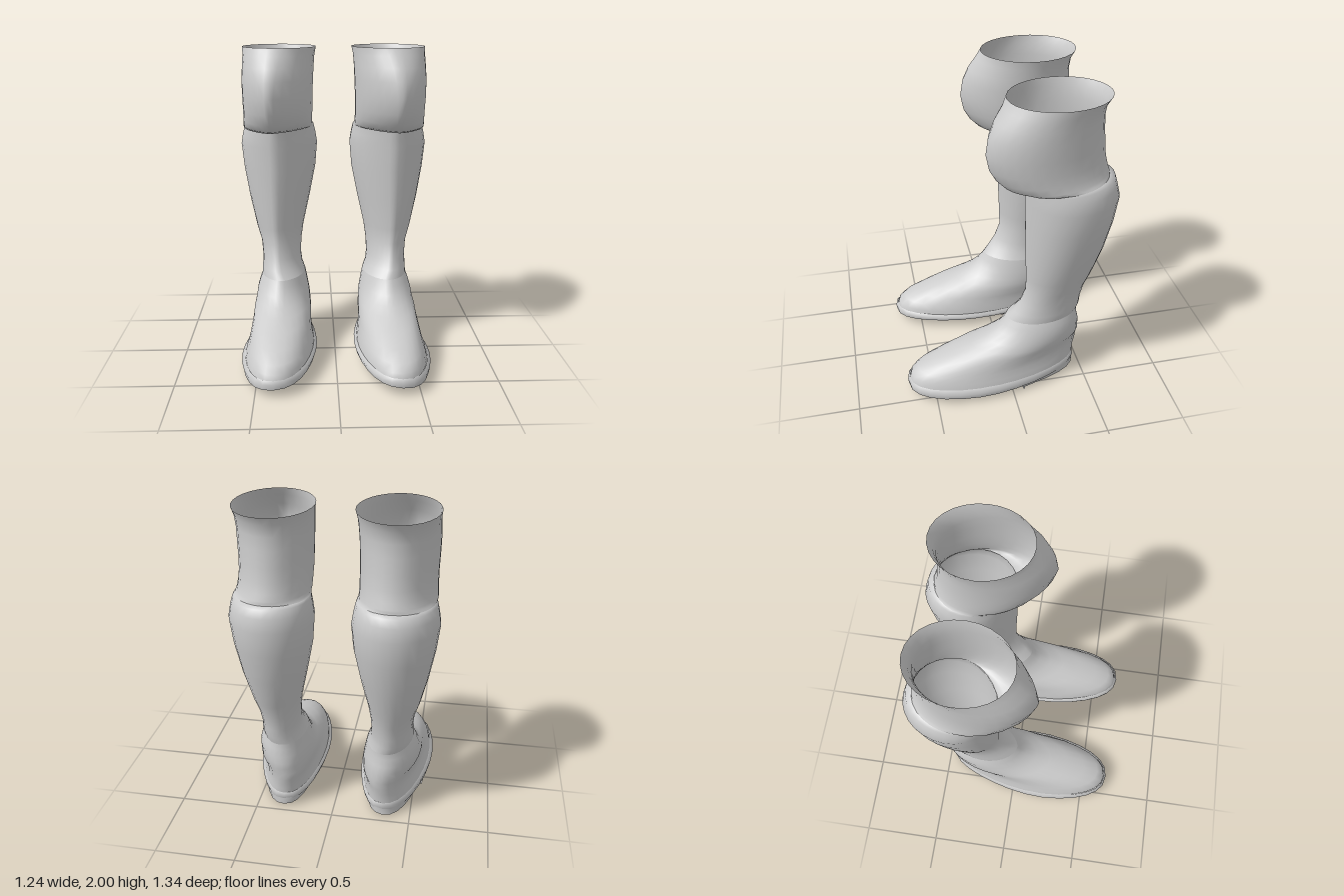
import * as THREE from 'three';

const SIDES = 28;
const leather = new THREE.MeshStandardMaterial({ color: 0xcccccc, side: THREE.DoubleSide });
leather.name = 'pale grey leather';

// One egg-shaped ring: y, back z, front z, inner x, outer x, extra options.
// front/back shift the ends sideways, pinch narrows the front,
// heel scales the back width, lift raises the back, tilt leans it outward
function ring([y, zb, zf, xi, xo, o = {}], side) {
  const { front = 0, back = 0, pinch = 0, heel = 1, lift = 0, tilt = 0, power = 1, clampZ = 9 } = o;
  const pts = [];
  for (let j = 0; j < SIDES; j++) {
    const a = (j / SIDES) * Math.PI * 2;
    const c = Math.cos(a), s = Math.sin(a), t = (c + 1) / 2;
    const z = Math.min((zb + zf) / 2 + ((zf - zb) / 2) * c, clampZ);
    const w = ((xo - xi) / 2) * THREE.MathUtils.lerp(heel, 1, THREE.MathUtils.smoothstep(t, 0, 0.65));
    const bend = Math.pow(Math.abs(s), power + pinch * t * t);
    const x = (xi + xo) / 2 + front * t * t + back * (1 - t) * (1 - t) + Math.sign(s) * bend * w;
    pts.push(x * side, y + lift * (1 - t) + tilt * (0.365 - x), z);
  }
  return pts;
}

// Skin a stack of rings, optionally closed at the bottom
function loft(name, rows, side, capped = false) {
  const pos = rows.flatMap((r) => ring(r, side));
  const idx = [];
  const tri = (a, b, c) => (side > 0 ? idx.push(a, b, c) : idx.push(a, c, b));
  for (let i = 0; i < rows.length - 1; i++) {
    for (let j = 0; j < SIDES; j++) {
      const k = (j + 1) % SIDES;
      const a = i * SIDES + j, b = i * SIDES + k;
      tri(a, b, b + SIDES);
      tri(a, b + SIDES, a + SIDES);
    }
  }
  if (capped) {
    // separate vertices keep the underside edge sharp
    const base = pos.length / 3;
    const bottom = pos.slice(0, SIDES * 3);
    const mid = [0, 0, 0];
    bottom.forEach((v, i) => { mid[i % 3] += v / SIDES; });
    pos.push(...bottom, ...mid);
    for (let j = 0; j < SIDES; j++) tri(base + SIDES, base + ((j + 1) % SIDES), base + j);
  }
  const g = new THREE.BufferGeometry();
  g.setAttribute('position', new THREE.Float32BufferAttribute(pos, 3));
  g.setIndex(idx);
  g.computeVertexNormals();
  const mesh = new THREE.Mesh(g, leather);
  mesh.name = name;
  return mesh;
}

function boot(side) {
  const g = new THREE.Group();
  g.name = side > 0 ? 'leftBoot' : 'rightBoot';

  // Sole and heel lean slightly to the outside
  const sole = { front: 0.015, back: -0.05, heel: 0.85, tilt: 0.07, power: 0.85 };
  g.add(loft('sole', [
    [0.052, -0.455, 0.665, 0.135, 0.605, sole],
    [0.085, -0.465, 0.67, 0.127, 0.614, { ...sole, tilt: 0.03 }],
    [0.105, -0.455, 0.655, 0.15, 0.59, { ...sole, tilt: 0.02 }],
  ], side, true));

  const heel = { ...sole, heel: 0.95, clampZ: -0.075 };
  g.add(loft('heel', [
    [0.013, -0.46, 0.64, 0.19, 0.56, heel],
    [0.06, -0.46, 0.64, 0.18, 0.57, { ...heel, clampZ: -0.055 }],
  ], side, true));

  // Foot with sloping instep
  const foot = { front: 0.015, back: -0.045, heel: 0.88, power: 0.9 };
  const instep = { front: 0.015, back: -0.03, pinch: 0.15 };
  const ankle = { front: 0.015, back: -0.015, pinch: 0.2 };
  g.add(loft('foot', [
    [0.095, -0.455, 0.655, 0.145, 0.59, foot],
    [0.135, -0.46, 0.645, 0.15, 0.58, foot],
    [0.175, -0.465, 0.6, 0.16, 0.565, foot],
    [0.22, -0.475, 0.5, 0.165, 0.555, foot],
    [0.27, -0.48, 0.37, 0.168, 0.545, { ...foot, heel: 0.95 }],
    [0.31, -0.485, 0.25, 0.17, 0.54, instep],
    [0.35, -0.485, 0.15, 0.175, 0.53, instep],
    [0.4, -0.48, 0.075, 0.18, 0.52, ankle],
    [0.45, -0.468, 0.035, 0.19, 0.505, ankle],
    [0.49, -0.466, 0.01, 0.2, 0.488, ankle],
  ], side));

  // Leg with calf swelling and a shin ridge towards the outside
  const shin = { front: 0.035, pinch: 0.4 };
  g.add(loft('legShaft', [
    [0.49, -0.466, 0.01, 0.2, 0.488, ankle],
    [0.54, -0.475, -0.03, 0.212, 0.48, { front: 0.03, pinch: 0.3 }],
    [0.6, -0.48, -0.07, 0.22, 0.475, shin],
    [0.7, -0.5, -0.108, 0.215, 0.485, shin],
    [0.8, -0.535, -0.108, 0.2, 0.515, shin],
    [1.0, -0.6, -0.1, 0.155, 0.56, shin],
    [1.2, -0.645, -0.095, 0.115, 0.595, shin],
    [1.36, -0.665, -0.09, 0.102, 0.612, shin],
    [1.42, -0.645, -0.088, 0.113, 0.6, { ...shin, lift: 0.02 }],
    [1.46, -0.63, -0.085, 0.123, 0.588, { ...shin, lift: 0.03 }],
    [1.47, -0.595, -0.085, 0.127, 0.58, { ...shin, lift: 0.03 }],
  ], side));

  // Bulging knee piece with a rounded lower lip, open at the top
  const knee = { front: 0.06, lift: 0.03, pinch: 0.45 };
  g.add(loft('kneeCuff', [
    [1.47, -0.595, -0.085, 0.127, 0.58, { ...shin, lift: 0.03 }],
    [1.468, -0.593, -0.02, 0.128, 0.578, { ...knee, lift: 0.045 }],
    [1.485, -0.593, 0.04, 0.128, 0.576, { ...knee, lift: 0.04 }],
    [1.53, -0.58, 0.085, 0.128, 0.572, knee],
    [1.6, -0.565, 0.125, 0.126, 0.57, { ...knee, lift: 0.02 }],
    [1.7, -0.555, 0.145, 0.125, 0.572, { front: 0.06, pinch: 0.4 }],
    [1.8, -0.545, 0.13, 0.122, 0.575, { front: 0.055, pinch: 0.3 }],
    [1.88, -0.54, 0.095, 0.12, 0.575, { front: 0.045, pinch: 0.2 }],
    [1.95, -0.55, 0.045, 0.118, 0.578, { front: 0.03, pinch: 0.1 }],
    [2.0, -0.58, 0.018, 0.113, 0.588, { front: 0.01 }],
  ], side));
  return g;
}

export function createModel() {
  const model = new THREE.Group();
  model.name = 'tallBoots';
  model.add(boot(1), boot(-1));
  return model;
}
